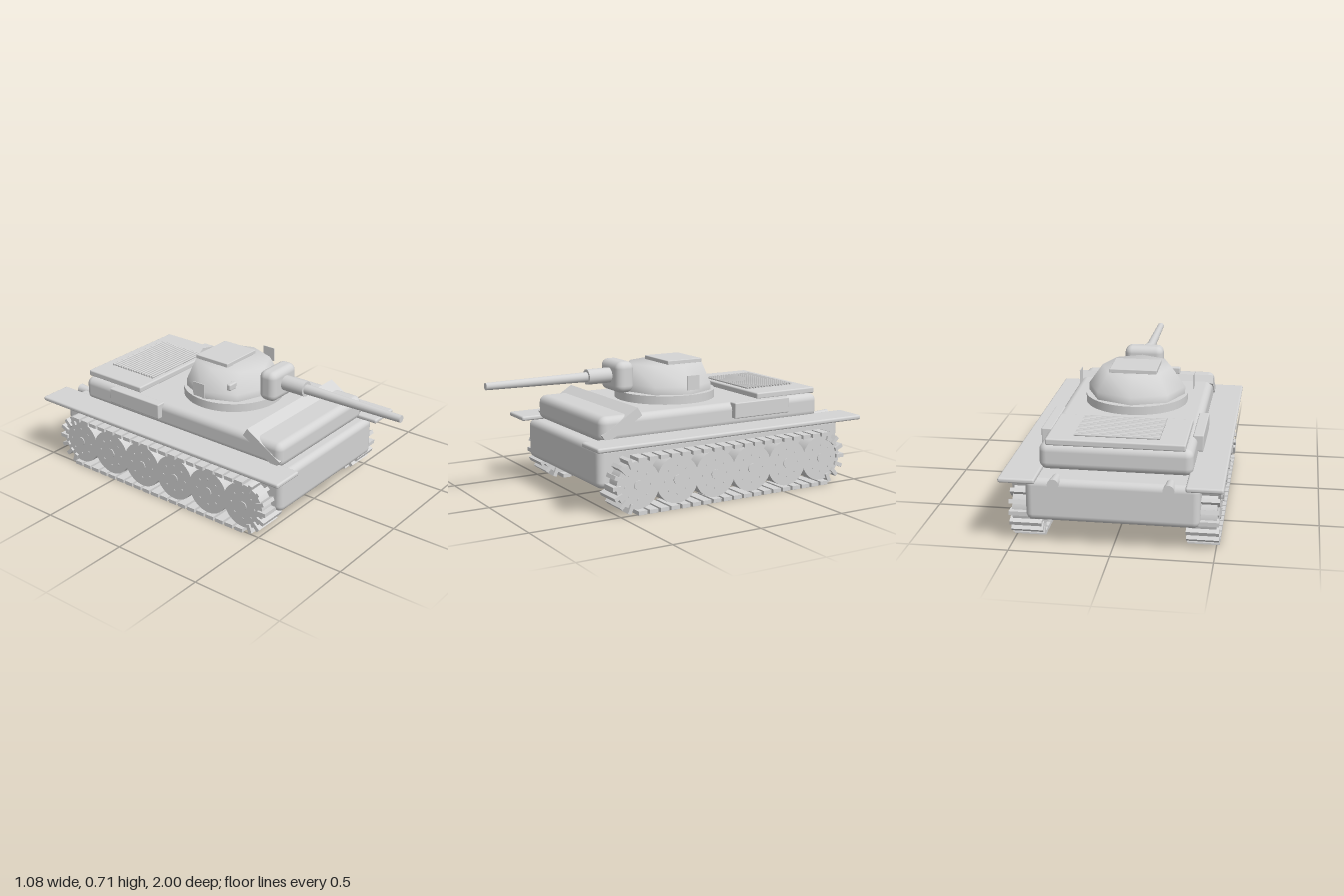
import * as THREE from 'three';
import { RoundedBoxGeometry } from 'three/addons/geometries/RoundedBoxGeometry.js';

export function createModel() {
  const model = new THREE.Group();
  model.name = 'tank';
  const paint = new THREE.MeshStandardMaterial({ color: 0xd4d4d4 });
  paint.name = 'plain grey';

  const add = (name, geometry, x, y, z, parent = model) => {
    const mesh = new THREE.Mesh(geometry, paint);
    mesh.name = name;
    mesh.position.set(x, y, z);
    parent.add(mesh);
    return mesh;
  };
  // Boxes are given by their limits on each axis
  const block = (name, [x0, x1], [y0, y1], [z0, z1], radius = 0) => {
    const size = [x1 - x0, y1 - y0, z1 - z0];
    const geometry = radius ? new RoundedBoxGeometry(...size, 3, radius) : new THREE.BoxGeometry(...size);
    return add(name, geometry, (x0 + x1) / 2, (y0 + y1) / 2, (z0 + z1) / 2);
  };
  // Cylinder along z; front radius first
  const rod = (name, rFront, rBack, z0, z1, x, y, sides = 24) =>
    add(name, new THREE.CylinderGeometry(rFront, rBack, z1 - z0, sides).rotateX(Math.PI / 2), x, y, (z0 + z1) / 2);

  // Hull
  block('lowerHull', [-0.425, 0.425], [0.134, 0.352], [-0.935, 0.585], 0.035);
  block('upperHull', [-0.38, 0.38], [0.355, 0.491], [-0.82, 0.545], 0.04);
  const glacis = add('glacisPlate', new THREE.BoxGeometry(0.766, 0.05, 0.24), 0, 0.441, 0.424);
  glacis.rotation.x = 0.55;

  // Engine deck and its grille of thin rods
  block('engineDeck', [-0.343, 0.343], [0.487, 0.521], [-0.822, -0.433], 0.008);
  const grille = new THREE.Group();
  grille.name = 'engineGrille';
  model.add(grille);
  const grilleRod = new THREE.CylinderGeometry(0.006, 0.006, 0.424, 8).rotateZ(Math.PI / 2);
  for (let i = 0; i < 16; i++) add('grilleRod', grilleRod, 0, 0.526, -0.465 - i * 0.0195, grille);

  // Turret ring and faceted turret
  add('turretRing', new THREE.CylinderGeometry(0.275, 0.275, 0.05, 48), 0, 0.511, -0.05);
  const profile = [[0.262, 0.53], [0.262, 0.576], [0.187, 0.682], [0, 0.682]].map((p) => new THREE.Vector2(...p));
  const turret = new THREE.LatheGeometry(profile, 8);
  const pos = turret.attributes.position;
  for (let i = 0; i < pos.count; i++) {
    // The top is rounder in plan than the base
    const t = THREE.MathUtils.clamp((pos.getY(i) - 0.576) / 0.106, 0, 1);
    pos.setZ(i, pos.getZ(i) * THREE.MathUtils.lerp(0.94, 1.14, t));
  }
  add('turret', turret, 0, 0, -0.057);
  block('hatch', [-0.125, 0.125], [0.679, 0.703], [-0.212, 0.002], 0.004);
  block('gunSight', [-0.22, -0.163], [0.604, 0.641], [0.07, 0.097], 0.008);

  // Gun
  block('mantlet', [-0.108, 0.106], [0.545, 0.713], [0.192, 0.296], 0.038);
  rod('gunSleeve', 0.041, 0.041, 0.28, 0.43, 0, 0.634);
  rod('barrel', 0.019, 0.027, 0.42, 1, 0, 0.634, 16);

  // Track pads: straight runs plus upright teeth around each end
  const pad = new THREE.BoxGeometry(0.16, 0.021, 0.05);
  const wheelY = 0.155, frontZ = 0.4, rearZ = -0.755, wheelR = 0.125, toothR = 0.126;
  const addPads = (track, x) => {
    for (const [count, y] of [[19, 0.0115], [19, 0.287]]) {
      for (let i = 0; i < count; i++) {
        add('trackPad', pad, x, y, THREE.MathUtils.lerp(frontZ - 0.02, rearZ - 0.02, i / (count - 1)), track);
      }
    }
    for (const [z, dir] of [[frontZ, 1], [rearZ, -1]]) {
      for (let i = 1; i < 8; i++) {
        const a = -Math.PI / 2 + (i * Math.PI) / 8;
        const tooth = add('endPad', pad, x, wheelY + toothR * Math.sin(a), z + dir * toothR * Math.cos(a), track);
        tooth.rotation.x = -a * dir;
      }
    }
  };

  // Road wheels with bolts on both faces
  const wheel = new THREE.CylinderGeometry(wheelR, wheelR, 0.135, 36).rotateZ(Math.PI / 2);
  const bolt = new THREE.CylinderGeometry(0.006, 0.006, 0.143, 8).rotateZ(Math.PI / 2);
  const hub = new THREE.CylinderGeometry(0.025, 0.025, 0.145, 16).rotateZ(Math.PI / 2);

  for (const s of [1, -1]) {
    const side = s > 0 ? 'left' : 'right';
    const span = (a, b) => (s > 0 ? [a, b] : [-b, -a]);
    block(side + 'Fender', span(0.36, 0.54), [0.352, 0.377], [-1, 0.645], 0.01);
    block(side + 'StowageBox', span(0.357, 0.41), [0.41, 0.495], [-0.6, -0.245], 0.006);
    block(side + 'SidePlate', span(0.306, 0.31), [0.57, 0.647], [-0.081, -0.006]);
    rod(side + 'Exhaust', 0.021, 0.028, -0.966, -0.868, s * 0.278, 0.341);

    const track = new THREE.Group();
    track.name = side + 'Track';
    model.add(track);
    const x = s * 0.435;
    addPads(track, x);
    for (let i = 0; i < 6; i++) {
      const z = THREE.MathUtils.lerp(frontZ, rearZ, i / 5);
      add('roadWheel', wheel, x, wheelY, z, track);
      add('wheelHub', hub, x, wheelY, z, track);
      for (let k = 0; k < 8; k++) {
        const a = (k * Math.PI) / 4;
        add('wheelBolt', bolt, x, wheelY + 0.075 * Math.sin(a), z + 0.075 * Math.cos(a), track);
      }
    }
  }
  return model;
}
